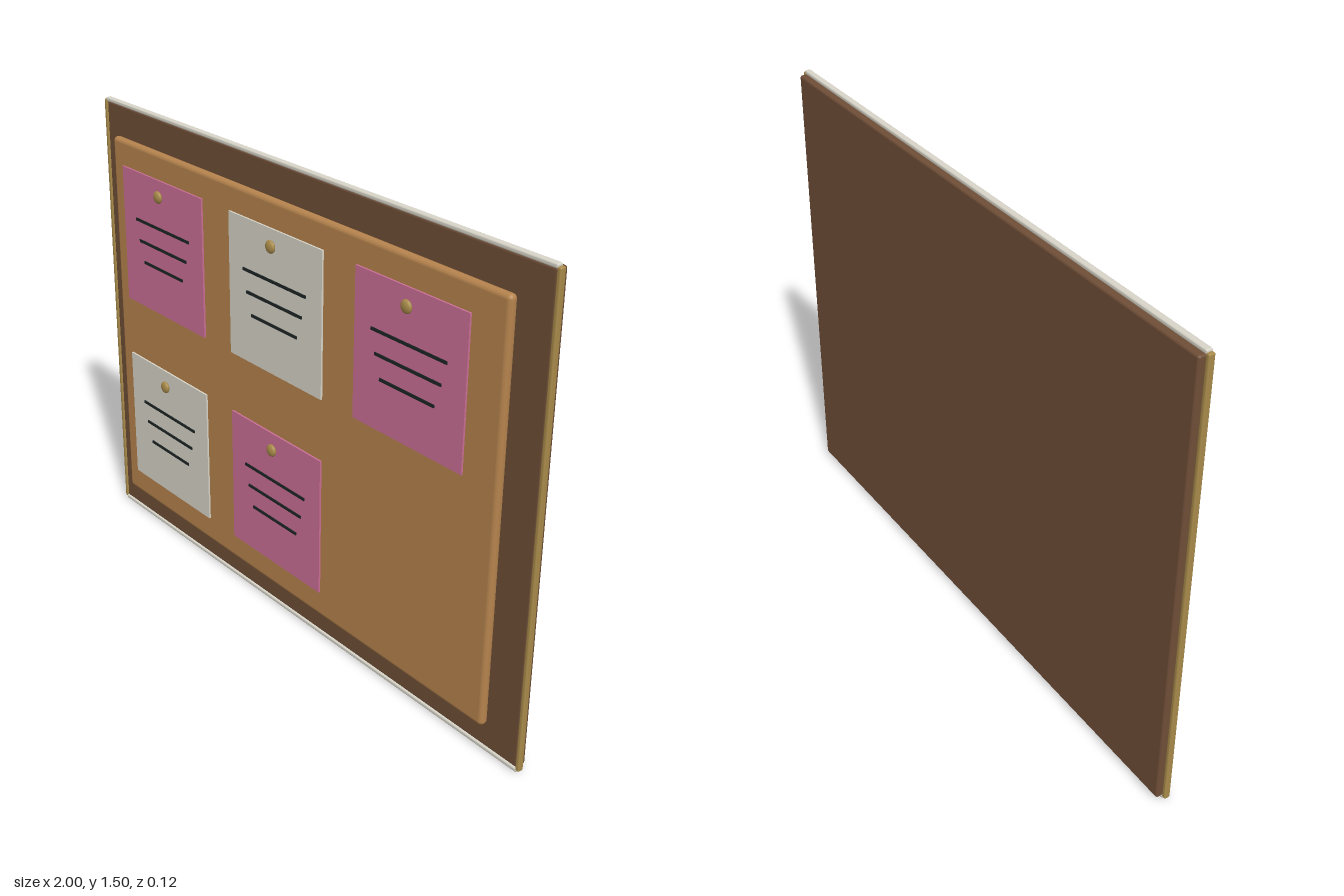
import * as THREE from 'three';
import { RoundedBoxGeometry } from 'three/addons/geometries/RoundedBoxGeometry.js';

const mat = (color) => new THREE.MeshStandardMaterial({ color });
const wood = mat(0x6f4e37), cork = mat(0xb5834d), brass = mat(0xa88a4a);
const silver = mat(0xd8d4c8), pink = mat(0xcc6f96), ink = mat(0x1c2424);

function add(parent, name, geometry, material, x, y, z) {
  const mesh = new THREE.Mesh(geometry, material);
  mesh.name = name;
  mesh.position.set(x, y, z);
  parent.add(mesh);
  return mesh;
}

// Paper note with three written lines and a pin; origin at the paper's centre
function createNote(paper) {
  const note = new THREE.Group();
  note.name = 'note';
  add(note, 'paper', new THREE.BoxGeometry(0.435, 0.455, 0.006), paper, 0, 0, 0);
  [0.295, 0.26, 0.215].forEach((width, i) =>
    add(note, 'writtenLine', new THREE.BoxGeometry(width, 0.009, 0.004), ink, 0, 0.068 - i * 0.069, 0.0045));
  const pin = add(note, 'pin', new THREE.SphereGeometry(0.02, 24, 16), brass, 0, 0.179, 0.0155);
  pin.scale.z = 0.5;
  return note;
}

export function createModel() {
  const group = new THREE.Group();
  group.name = 'pinBoard';

  // Backing board and cork panel
  add(group, 'backBoard', new RoundedBoxGeometry(1.976, 1.476, 0.036, 4, 0.008), wood, 0, 0.75, -0.042);
  add(group, 'corkPanel', new RoundedBoxGeometry(1.78, 1.286, 0.03, 5, 0.014), cork, -0.004, 0.754, 0.005);

  // Trim strips along the four edges
  for (const s of [-1, 1]) {
    add(group, 'horizontalTrim', new RoundedBoxGeometry(1.98, 0.014, 0.02, 3, 0.005), silver, 0, 0.75 + s * 0.743, -0.03);
    add(group, 'sideTrim', new RoundedBoxGeometry(0.014, 1.486, 0.02, 3, 0.005), brass, s * 0.993, 0.75, -0.03);
  }

  // Notes: three above, two below, alternating papers
  for (const [column, row] of [[0, 0], [1, 0], [2, 0], [0, 1], [1, 1]]) {
    const note = createNote((column + row) % 2 ? silver : pink);
    note.position.set(-0.597 + column * 0.575, 1.092 - row * 0.655, 0.034);
    group.add(note);
  }
  return group;
}
